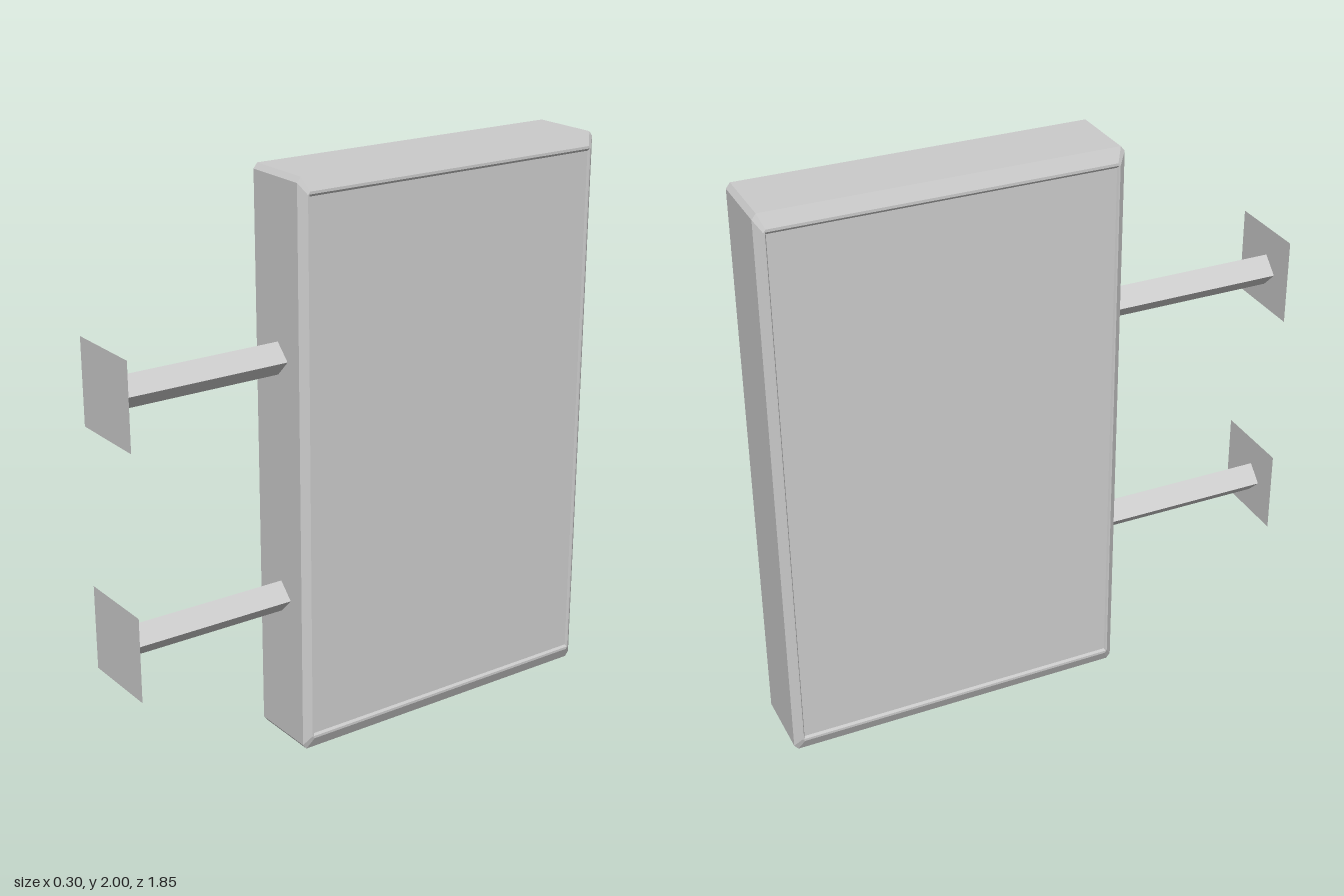
import * as THREE from 'three';

const mat = new THREE.MeshStandardMaterial({ color: 0xcccccc, flatShading: true, side: THREE.DoubleSide });
const CX = -0.008, CY = 1, CZ = -0.317; // centre of the sign box

// Rectangle with cut corners in the z/y plane, at a given x
function ring(x, halfZ, halfY, cutZ, cutY) {
  const pts = [];
  for (const [sz, sy, first] of [[1, 1, 0], [-1, 1, 1], [-1, -1, 0], [1, -1, 1]]) {
    const a = [x, CY + sy * (halfY - cutY), CZ + sz * halfZ];
    const b = [x, CY + sy * halfY, CZ + sz * (halfZ - cutZ)];
    pts.push(...(first ? [b, a] : [a, b]));
  }
  return pts;
}

// Skin consecutive rings, optionally capping both ends
function loft(rings, capped) {
  const pos = [], n = rings[0].length;
  for (let r = 0; r < rings.length - 1; r++) {
    for (let i = 0; i < n; i++) {
      const j = (i + 1) % n, A = rings[r], B = rings[r + 1];
      pos.push(...A[i], ...B[j], ...B[i], ...A[i], ...A[j], ...B[j]);
    }
  }
  if (capped) {
    const A = rings[0], B = rings[rings.length - 1];
    for (let i = 1; i < n - 1; i++) {
      pos.push(...A[0], ...A[i + 1], ...A[i], ...B[0], ...B[i], ...B[i + 1]);
    }
  }
  const g = new THREE.BufferGeometry();
  g.setAttribute('position', new THREE.Float32BufferAttribute(pos, 3));
  g.computeVertexNormals();
  return g;
}

export function createModel() {
  const group = new THREE.Group();
  const add = (name, geo, x = 0, y = 0, z = 0) => {
    const m = new THREE.Mesh(geo, mat);
    m.name = name;
    m.position.set(x, y, z);
    group.add(m);
    return m;
  };

  // Bevelled casing with a slightly sunken panel on each side
  const half = [
    [0.123, 0.606, 1, 0.014, 0.018],
    [0.146, 0.581, 0.955, 0.008, 0.01],
    [0.146, 0.576, 0.946, 0, 0],
    [0.14, 0.572, 0.938, 0, 0],
  ];
  const section = (s) => ([x, ...rest]) => ring(CX + s * x, ...rest);
  // The order of rings runs from -x to +x so faces point outwards
  add('signBox', loft([...[...half].reverse().map(section(-1)), ...half.map(section(1))], true));

  // Wall brackets: diamond-section arm and a thin mounting plate
  for (const [name, y] of [['lower', 0.54], ['upper', 1.386]]) {
    const arm = new THREE.CylinderGeometry(0.056, 0.056, 0.634, 4).rotateX(Math.PI / 2);
    add(name + 'Arm', arm, -0.006, y, 0.604);
    add(name + 'WallPlate', new THREE.PlaneGeometry(0.294, 0.296), 0.003, y + 0.008, 0.922);
  }
  return group;
}
